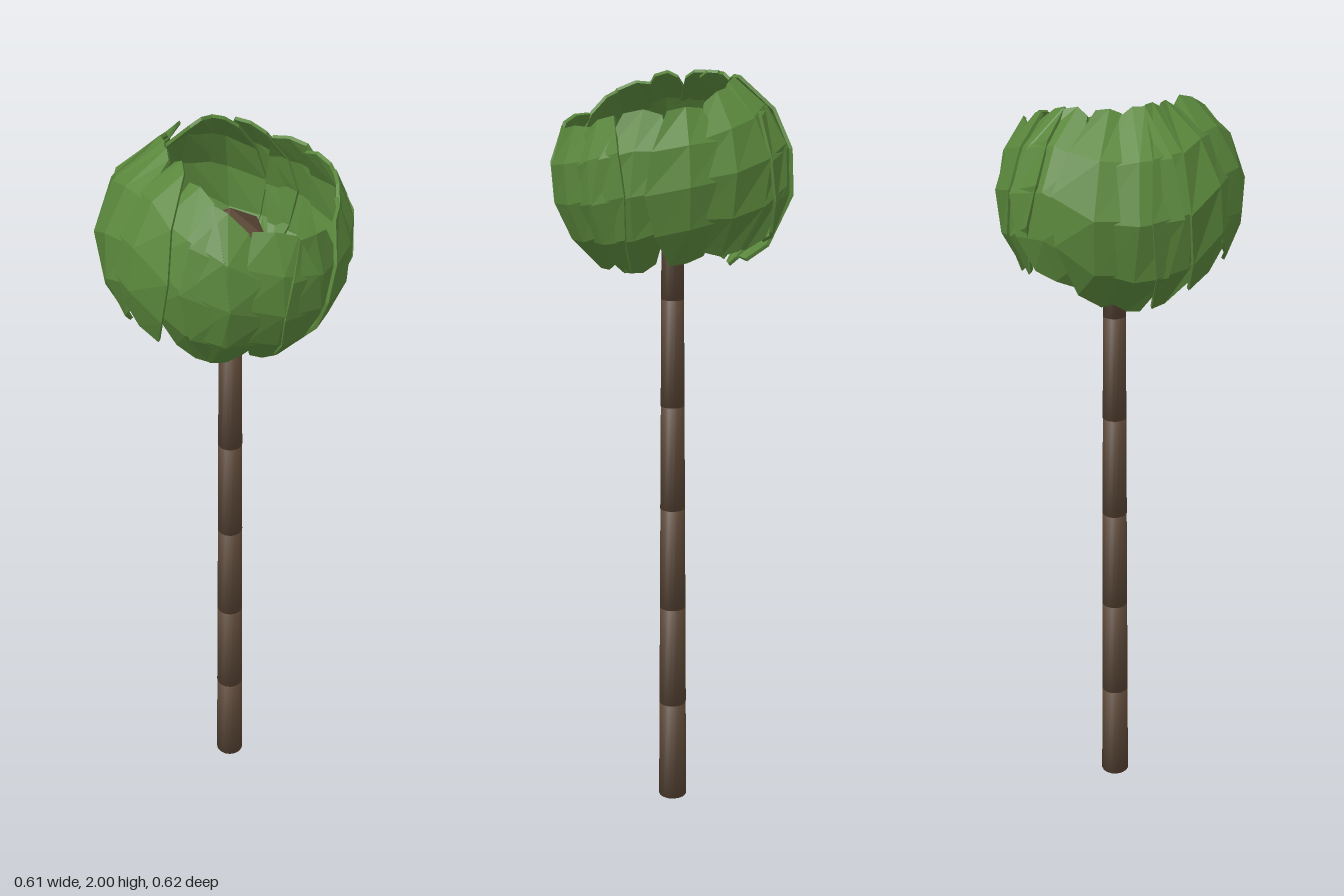
import * as THREE from 'three';

const R = 0.304, CY = 1.753, UPPER = 0.9, LOWER = 0.96;

// Radius of the crown openings, evenly spaced around from +x towards +z
const TOP_RIM = [0.235, 0.24, 0.275, 0.28, 0.265, 0.2, 0.15, 0.14, 0.14, 0.16, 0.155, 0.205];
const LOW_RIM = [
  0.235, 0.215, 0.2, 0.19, 0.185, 0.18, 0.18, 0.18, 0.18, 0.19, 0.2, 0.225,
  0.265, 0.285, 0.24, 0.18, 0.17, 0.17, 0.19, 0.25, 0.275, 0.25, 0.24, 0.235];

function rimAt(table, a) {
  const t = (((a / (Math.PI * 2)) % 1) + 1) % 1 * table.length;
  const i = Math.floor(t) % table.length;
  return THREE.MathUtils.lerp(table[i], table[(i + 1) % table.length], t - Math.floor(t));
}

function seeded(seed) {
  return () => {
    seed = (seed * 16807) % 2147483647;
    return seed / 2147483647;
  };
}

// Curved leaf slab: rows run from the upper to the lower opening, columns across
function leafGeometry(azimuth, halfWidth, rand) {
  const widths = [0.65, 1.05, 1.25, 1.05, 0.65], cols = 3, rows = widths.length;
  const thickness = 0.009, positions = [], index = [];
  const slant = (rand() - 0.5) * 0.2;
  const shift = (rand() - 0.5) * 0.06;
  const lean = rand() < 0.5 ? -0.009 : 0.009;
  for (const inset of [0, thickness]) {
    widths.forEach((w, r) => {
      for (let c = 0; c < cols; c++) {
        const side = c - 1;
        const a = azimuth + side * halfWidth * w + slant * (r / (rows - 1) - 0.5);
        const trim = side === 0 ? -0.015 : 0.02;
        const start = Math.asin(rimAt(TOP_RIM, a) / R) + trim + shift;
        const end = Math.PI - Math.asin(rimAt(LOW_RIM, a) / R) - trim + shift;
        const phi = THREE.MathUtils.lerp(start, end, r / (rows - 1));
        // one edge sits over the neighbour, the other tucks under it
        const rad = R + side * lean + (side === 0 ? 0.004 : 0) - inset;
        const h = Math.cos(phi);
        positions.push(
          rad * Math.sin(phi) * Math.cos(a),
          rad * h * (h > 0 ? UPPER : LOWER),
          rad * Math.sin(phi) * Math.sin(a));
      }
    });
  }
  const n = rows * cols;
  const quad = (a, b, c, d) => index.push(a, b, c, a, c, d);
  for (let r = 0; r < rows - 1; r++) {
    for (let c = 0; c < cols - 1; c++) {
      const p = r * cols + c;
      quad(p, p + 1, p + cols + 1, p + cols);
      quad(n + p, n + p + cols, n + p + cols + 1, n + p + 1);
    }
  }
  // thin walls around the border
  const border = [];
  for (let c = 0; c < cols - 1; c++) border.push(c);
  for (let r = 0; r < rows - 1; r++) border.push(r * cols + cols - 1);
  for (let c = cols - 1; c > 0; c--) border.push((rows - 1) * cols + c);
  for (let r = rows - 1; r > 0; r--) border.push(r * cols);
  border.forEach((p, i) => {
    const q = border[(i + 1) % border.length];
    quad(p, n + p, n + q, q);
  });
  const g = new THREE.BufferGeometry();
  g.setAttribute('position', new THREE.Float32BufferAttribute(positions, 3));
  g.setIndex(index);
  const flat = g.toNonIndexed();
  flat.computeVertexNormals();
  return flat;
}

// Trunk piece shaded as a softly rounded drum
function trunkGeometry(rTop, rBottom, h) {
  const g = new THREE.CylinderGeometry(rTop, rBottom, h, 16);
  const { position, normal } = g.attributes;
  const v = new THREE.Vector3();
  for (let i = 0; i < position.count; i++) {
    v.fromBufferAttribute(normal, i);
    if (Math.abs(v.y) > 0.5) continue;
    v.y = Math.sign(position.getY(i)) * 0.6;
    v.normalize();
    normal.setXYZ(i, v.x, v.y, v.z);
  }
  return g;
}

export function createModel() {
  const model = new THREE.Group();
  model.name = 'tree';
  const bark = new THREE.MeshStandardMaterial({ color: 0x5a4636 });
  bark.name = 'bark brown';
  const green = new THREE.MeshStandardMaterial({ color: 0x5a873c, side: THREE.DoubleSide });
  green.name = 'leaf green';

  // Trunk of six stacked, tapering pieces
  const trunk = new THREE.Group();
  trunk.name = 'trunk';
  const pieceHeight = 0.2857;
  const radius = (i) => 0.039 - i * 0.0018;
  for (let i = 0; i < 6; i++) {
    const piece = new THREE.Mesh(trunkGeometry(radius(i + 1) - 0.0004, radius(i), pieceHeight), bark);
    piece.name = 'trunkPiece';
    piece.position.set(0.014, pieceHeight * (i + 0.5), 0.003);
    trunk.add(piece);
  }
  model.add(trunk);

  // Faceted knot at the trunk top, one corner pointing up
  const knotGeometry = new THREE.IcosahedronGeometry(0.104, 0);
  knotGeometry.rotateX(-Math.atan((1 + Math.sqrt(5)) / 2));
  knotGeometry.rotateY(Math.PI / 2);
  const knot = new THREE.Mesh(knotGeometry, bark);
  knot.name = 'knot';
  knot.position.set(0.015, 1.72, 0.002);
  model.add(knot);

  // Hollow crown of overlapping leaves
  const crown = new THREE.Group();
  crown.name = 'crown';
  crown.position.y = CY;
  const rand = seeded(41);
  const count = 16, step = (Math.PI * 2) / count;
  for (let i = 0; i < count; i++) {
    const azimuth = (i + (rand() - 0.5) * 0.25) * step;
    const leaf = new THREE.Mesh(leafGeometry(azimuth, step * 0.72, rand), green);
    leaf.name = 'leaf';
    crown.add(leaf);
  }
  model.add(crown);
  return model;
}
